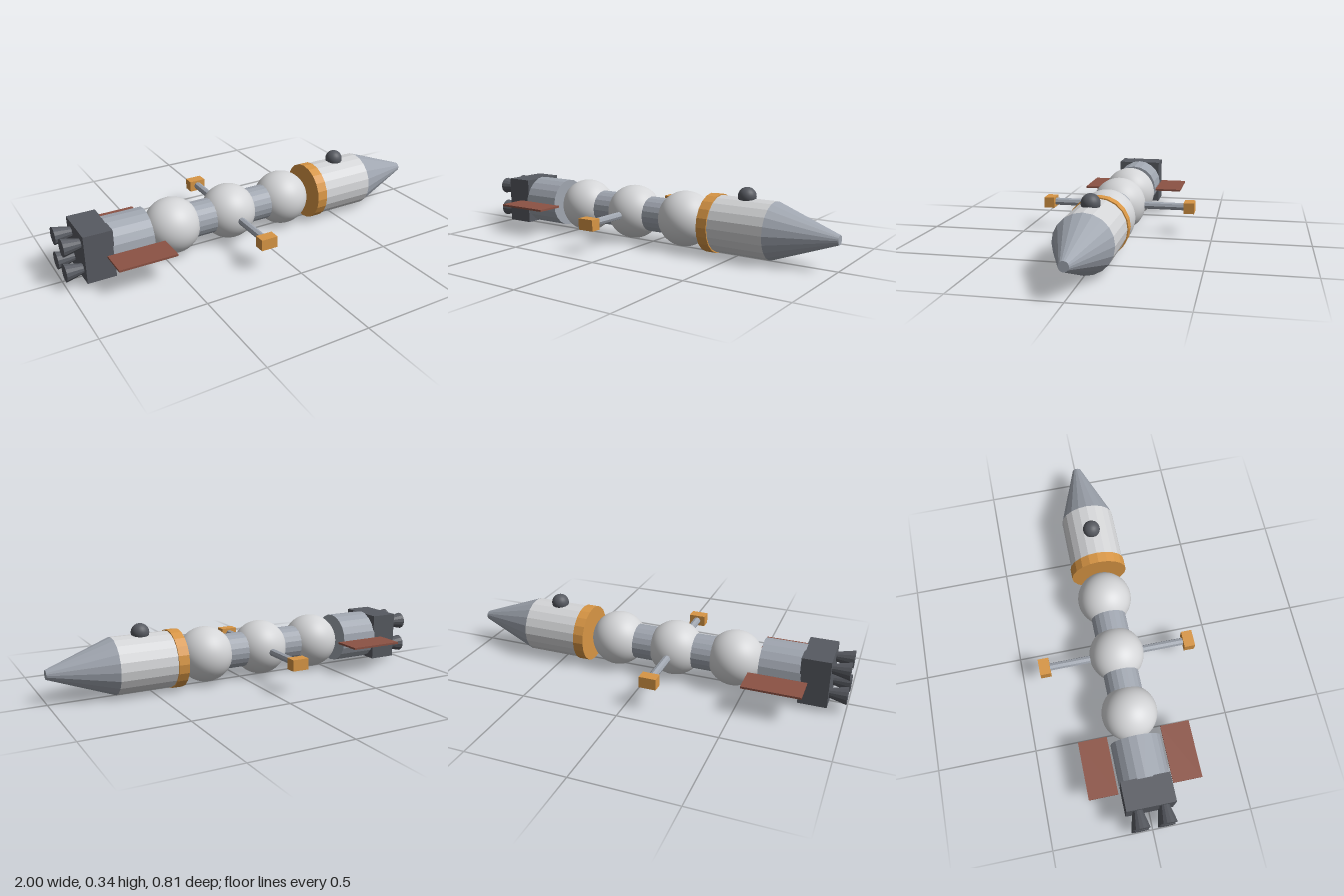
import * as THREE from 'three';

const AXIS_Y = 0.147;

export function createModel() {
  const model = new THREE.Group();
  model.name = 'spacecraft';

  const paint = (name, color) => {
    const m = new THREE.MeshStandardMaterial({ color });
    m.name = name;
    return m;
  };
  const white = paint('hull white', 0xd4d5d7);
  const steel = paint('steel grey', 0xa0a6b0);
  const dark = paint('dark grey', 0x575a61);
  const orange = paint('orange', 0xd89645);
  const rust = paint('panel rust', 0x8c5244);

  const add = (name, geometry, material, x, y = 0, z = 0) => {
    const mesh = new THREE.Mesh(geometry, material);
    mesh.name = name;
    mesh.position.set(x, AXIS_Y + y, z);
    model.add(mesh);
    return mesh;
  };

  // Faceted tube along x from x0 (radius r0) to x1 (radius r1)
  const tube = (name, x0, x1, r0, r1, material, sides = 20, y = 0, z = 0) => {
    const g = new THREE.CylinderGeometry(r1, r0, x1 - x0, sides).rotateZ(-Math.PI / 2).toNonIndexed();
    g.computeVertexNormals();
    return add(name, g, material, (x0 + x1) / 2, y, z);
  };

  // Forward hull, collar and nose
  tube('noseCone', 0.685, 1, 0.14, 0.023, steel);
  tube('forwardHull', 0.36, 0.685, 0.14, 0.14, white);
  tube('collar', 0.345, 0.4, 0.146, 0.146, orange);
  add('sensorDome', new THREE.SphereGeometry(0.0445, 24, 16), dark, 0.54, 0.149);

  // Spherical habitat modules and the connectors between them
  const centres = [-0.433, -0.118, 0.198];
  centres.forEach((x, i) => {
    add('sphereModule' + (i + 1), new THREE.SphereGeometry(0.14, 40, 28), white, x);
    if (i > 0) tube('connector' + i, centres[i - 1], x, 0.09, 0.09, steel);
  });

  // Service module and engine block
  tube('serviceModule', -0.78, -0.575, 0.126, 0.126, steel);
  add('engineBlock', new THREE.BoxGeometry(0.14, 0.24, 0.24), dark, -0.845);

  for (const side of [1, -1]) {
    const label = side > 0 ? 'front' : 'rear';
    // Engine nozzles
    for (const up of [1, -1]) {
      tube(label + (up > 0 ? 'Upper' : 'Lower') + 'Nozzle', -1, -0.91, 0.044, 0.023, dark, 14, up * 0.065, side * 0.065);
    }
    // Radiator panels
    add(label + 'Panel', new THREE.BoxGeometry(0.285, 0.01, 0.145), rust, -0.673, 0, side * 0.208);

    // Side booms and end pods
    const boom = new THREE.CylinderGeometry(0.0195, 0.0195, 0.25, 8).rotateX(Math.PI / 2).toNonIndexed();
    boom.computeVertexNormals();
    add(label + 'Boom', boom, steel, -0.118, 0, side * 0.235);
    add(label + 'Pod', new THREE.BoxGeometry(0.085, 0.056, 0.055), orange, -0.118, 0, side * 0.376);
  }

  return model;
}
